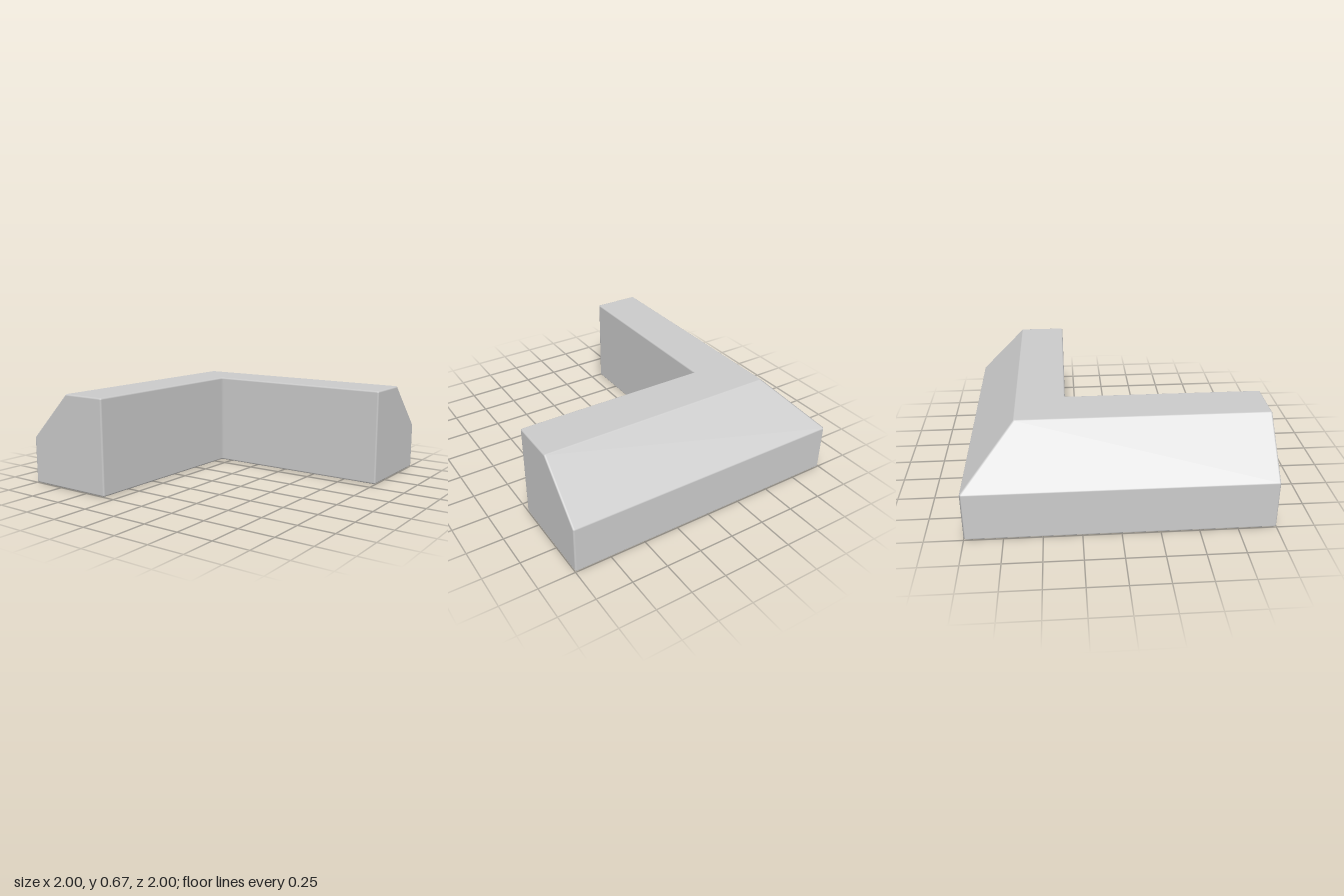
import * as THREE from 'three';

const R = 0.012;      // edge rounding
const STEPS = 3;      // segments per rounded edge
const W = 0.665, H = 0.665, C = 0.335; // depth, height, chamfer size

// Cross-section with rounded corners: d runs inwards from the outer wall, y up.
function roundedSection() {
  const corners = [[0, 0], [W, 0], [W, H], [C, H], [0, H - C]].map(p => new THREE.Vector2(...p));
  const count = corners.length;
  const edgeNormal = i => {
    const e = corners[(i + 1) % count].clone().sub(corners[i % count]).normalize();
    return new THREE.Vector2(e.y, -e.x);
  };
  const points = [];
  corners.forEach((corner, i) => {
    const n1 = edgeNormal(i + count - 1), n2 = edgeNormal(i);
    const centre = corner.clone().addScaledVector(n1.clone().add(n2), -R / (1 + n1.dot(n2)));
    for (let k = 0; k <= STEPS; k++) {
      points.push({ centre, normal: n1.clone().lerp(n2, k / STEPS).normalize() });
    }
  });
  return points;
}

// Sweep the section down one arm, around the mitred corner and along the other.
function cornerGeometry() {
  const section = roundedSection();
  const N = section.length;
  const positions = [], normals = [], index = [];

  // angle rounds the end rim; atCorner puts the ring beside the mitre
  const addRing = (backArm, angle, atCorner) => {
    const k = Math.cos(angle), t = Math.sin(angle);
    for (const { centre, normal } of section) {
      const d = centre.x + R * k * normal.x - 1;
      const y = centre.y + R * k * normal.y;
      const along = atCorner ? d + R : 1 - R + R * t;
      const nd = normal.x * k, ny = normal.y * k;
      if (backArm) {
        positions.push(along, y, d);
        normals.push(t, ny, nd);
      } else {
        positions.push(d, y, along);
        normals.push(nd, ny, t);
      }
    }
  };

  for (let s = STEPS; s >= 0; s--) addRing(false, (s / STEPS) * Math.PI / 2, false);
  addRing(false, 0, true);
  addRing(true, 0, true);
  for (let s = 0; s <= STEPS; s++) addRing(true, (s / STEPS) * Math.PI / 2, false);

  // Walls between rings
  const rings = positions.length / 3 / N;
  for (let i = 0; i < rings - 1; i++) {
    for (let j = 0; j < N; j++) {
      const a = i * N + j, a2 = i * N + (j + 1) % N;
      index.push(a, a + N, a2, a2, a + N, a2 + N);
    }
  }
  // Flat end caps
  const last = (rings - 1) * N;
  for (let j = 1; j < N - 1; j++) {
    index.push(0, j, j + 1, last, last + j + 1, last + j);
  }

  const geometry = new THREE.BufferGeometry();
  geometry.setAttribute('position', new THREE.Float32BufferAttribute(positions, 3));
  geometry.setAttribute('normal', new THREE.Float32BufferAttribute(normals, 3));
  geometry.setIndex(index);
  return geometry;
}

export function createModel() {
  const group = new THREE.Group();
  group.name = 'cornerBlock';
  const block = new THREE.Mesh(cornerGeometry(), new THREE.MeshStandardMaterial({ color: 0xcccccc }));
  block.name = 'chamferedCorner';
  group.add(block);
  return group;
}
